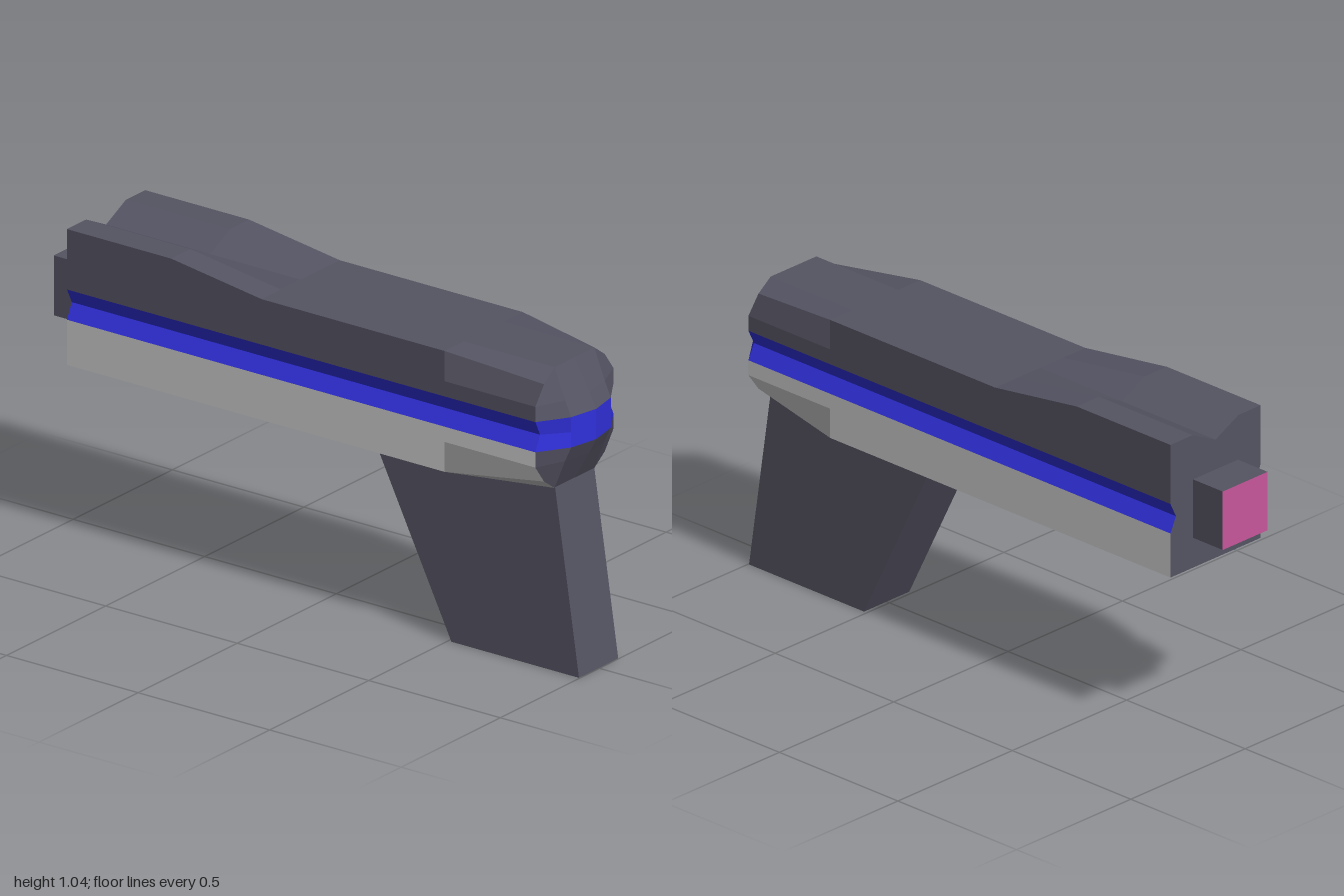
import * as THREE from 'three';

const mat = (name, color, side = THREE.FrontSide) => {
  const m = new THREE.MeshStandardMaterial({ color, side });
  m.name = name;
  return m;
};

// Collects four-cornered facets, each with one flat normal
function facets(quads) {
  const pos = [], nor = [];
  for (const q of quads) {
    const [a, b, c, d] = q.map(p => new THREE.Vector3(...p));
    const n = c.clone().sub(a).cross(d.clone().sub(b)).normalize();
    for (const v of [a, b, c, a, c, d]) {
      pos.push(v.x, v.y, v.z);
      nor.push(n.x, n.y, n.z);
    }
  }
  const g = new THREE.BufferGeometry();
  g.setAttribute('position', new THREE.Float32BufferAttribute(pos, 3));
  g.setAttribute('normal', new THREE.Float32BufferAttribute(nor, 3));
  return g;
}

const W = 0.197, TOP = 0.996, BOT = 0.6, END = 0.905;

// Closed cross-section [z, y], clockwise from the top centre down the +z side
function section(ridge, cornerZ, cornerTop, cornerBot) {
  const half = [
    [0, TOP], [0.1, ridge], [cornerZ, cornerTop], [W, 0.897], [W, 0.847], [0.173, 0.798],
    [W, 0.748], [W, 0.698], [cornerZ, cornerBot], [0.1, BOT], [0, BOT],
  ];
  const back = half.slice(1, -1).reverse().map(([z, y]) => [-z, y]);
  return [...half, ...back];
}

export function createModel() {
  const dark = mat('dark grey', 0x555463);
  const blue = mat('blue', 0x3030dc);
  const grey = mat('light grey', 0xcacaca);
  const pink = mat('magenta', 0xc8579c);

  const model = new THREE.Group();
  const add = (parent, name, geometry, material) => {
    const mesh = new THREE.Mesh(geometry, material);
    mesh.name = name;
    parent.add(mesh);
    return mesh;
  };

  // Body: lofted along x, split into colour bands
  const body = new THREE.Group();
  body.name = 'body';
  model.add(body);
  const stations = [
    [-0.875, section(1.045, W, 1.045, BOT)],
    [-0.48, section(1.045, W, 1.045, BOT)],
    [-0.135, section(TOP, W, TOP, BOT)],
    [0.56, section(TOP, W, TOP, BOT)],
    [END, section(TOP, 0.153, 0.957, 0.638)],
  ];
  const bands = { upper: [], stripe: [], lower: [] };
  for (let s = 0; s < stations.length - 1; s++) {
    const [x0, r0] = stations[s], [x1, r1] = stations[s + 1];
    const n = r0.length;
    for (let i = 0; i < n; i++) {
      const j = (i + 1) % n;
      const k = Math.min(i, n - 1 - i);
      const band = k < 4 ? bands.upper : k < 6 ? bands.stripe : bands.lower;
      const p = (x, [z, y]) => [x, y, z];
      band.push([p(x0, r0[i]), p(x0, r0[j]), p(x1, r1[j]), p(x1, r1[i])]);
    }
  }
  add(body, 'upperBody', facets(bands.upper), dark);
  add(body, 'sideStripes', facets(bands.stripe), blue);
  add(body, 'lowerBody', facets(bands.lower), grey);

  // Flat front plate with the sight notch
  const outline = new THREE.Shape(stations[0][1].map(([z, y]) => new THREE.Vector2(z, y)));
  const plate = add(body, 'frontPlate', new THREE.ShapeGeometry(outline), dark);
  plate.rotation.y = -Math.PI / 2;
  plate.position.x = stations[0][0];

  // Faceted rear cap: rows of [y, outer z, outer y, x at z = 0.1, x at z = 0]
  const rows = [
    [TOP, 0.153, 0.957, END, END],
    [0.897, W, 0.897, 0.945, 0.962],
    [0.847, W, 0.847, 0.968, 0.988],
    [0.798, 0.173, 0.798, 0.968, 0.988],
    [0.748, W, 0.748, 0.968, 0.988],
    [0.698, W, 0.698, 0.945, 0.962],
    [BOT, 0.153, 0.638, END, END],
  ].map(([y, oz, oy, x1, x0]) => [
    [END, oy, oz], [x1, y, 0.1], [x0, y, 0], [x1, y, -0.1], [END, oy, -oz],
  ]);
  const capDark = [], capBlue = [];
  for (let r = 0; r < rows.length - 1; r++) {
    for (let c = 0; c < 4; c++) {
      (r === 2 || r === 3 ? capBlue : capDark).push(
        [rows[r][c], rows[r + 1][c], rows[r + 1][c + 1], rows[r][c + 1]]);
    }
  }
  add(body, 'rearCap', facets(capDark), dark);
  add(body, 'rearStripe', facets(capBlue), blue);

  // Barrel with a coloured muzzle face
  const barrel = add(model, 'barrel', new THREE.BoxGeometry(0.14, 0.196, 0.196),
    [dark, pink, dark, dark, dark, dark]);
  barrel.position.set(-0.93, 0.798, 0);

  // Slanted grip
  const gripShape = new THREE.Shape([
    [0.512, 0], [0.997, 0], [0.905, 0.61], [0.21, 0.61],
  ].map(([x, y]) => new THREE.Vector2(x, y)));
  const grip = new THREE.ExtrudeGeometry(gripShape, { depth: 0.198, bevelEnabled: false });
  grip.translate(0, 0, -0.099);
  add(model, 'grip', grip, dark);

  return model;
}
